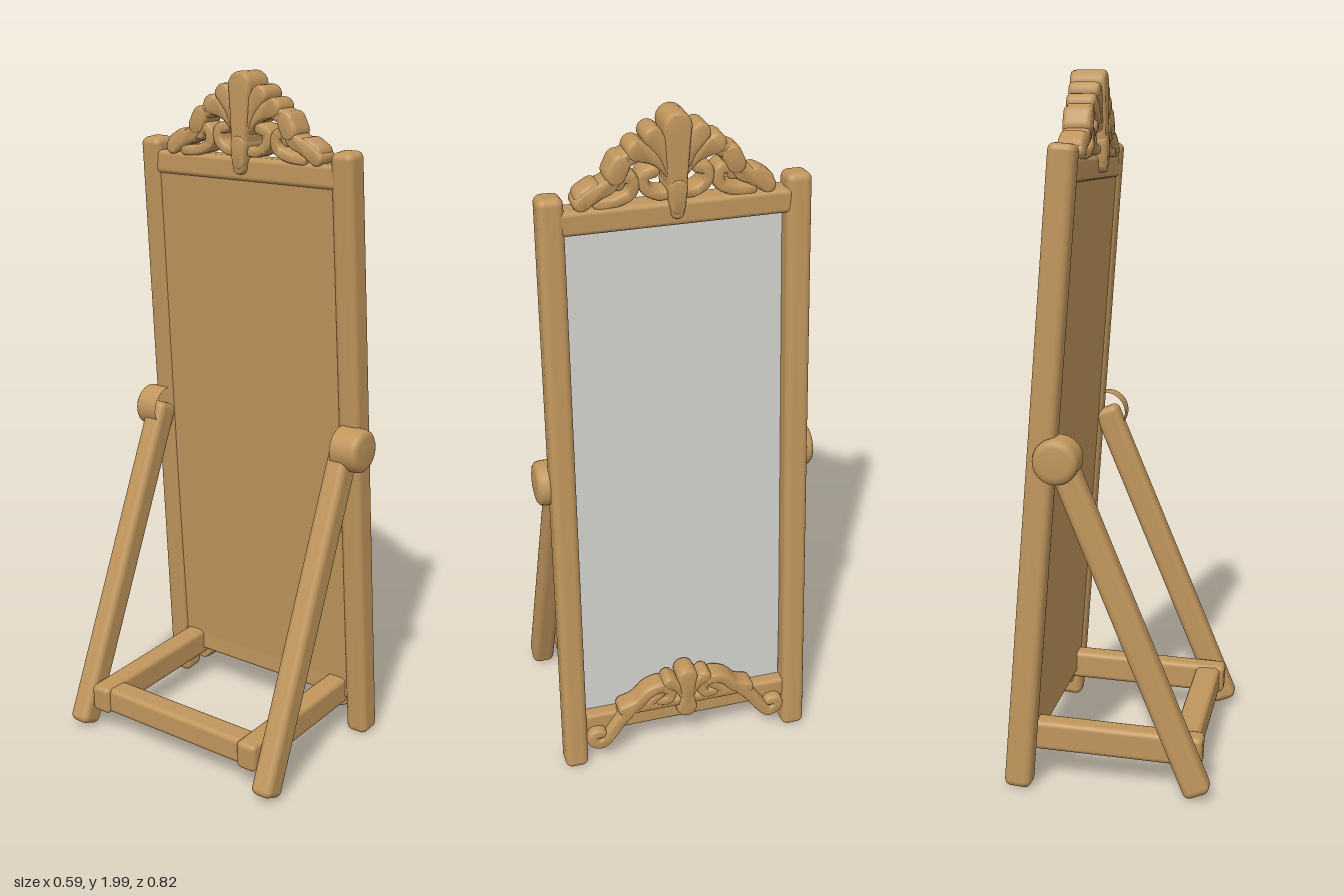
import * as THREE from 'three';
import { RoundedBoxGeometry } from 'three/addons/geometries/RoundedBoxGeometry.js';
import { mergeVertices, toCreasedNormals } from 'three/addons/utils/BufferGeometryUtils.js';

const wood = new THREE.MeshStandardMaterial({ color: 0xc0955c });
wood.name = 'wood';
const glass = new THREE.MeshStandardMaterial({ color: 0xcfcfca });
glass.name = 'mirrorGlass';

const V = (x, y, z) => new THREE.Vector3(x, y, z);

export function createModel() {
  const model = new THREE.Group();
  model.name = 'standingMirror';

  function add(parent, name, geometry, material = wood) {
    const mesh = new THREE.Mesh(geometry, material);
    mesh.name = name;
    parent.add(mesh);
    return mesh;
  }

  // Rounded bar running from a to b, with its size along x and z
  function bar(name, a, b, sx, sz, radius, material = wood) {
    const dir = b.clone().sub(a);
    const mesh = add(model, name, new RoundedBoxGeometry(sx, dir.length(), sz, 3, radius), material);
    mesh.position.copy(a).add(b).multiplyScalar(0.5);
    mesh.quaternion.setFromUnitVectors(V(0, 1, 0), dir.normalize());
    return mesh;
  }

  // Carved strip along a curve in the z-y plane, with round ends and a tapering half width
  function strip(parent, name, points, w0, w1, depth) {
    const curve = new THREE.SplineCurve(points.map(p => new THREE.Vector2(...p)));
    const n = points.length > 2 ? 28 : 6;
    const left = [], right = [];
    const cap = (c, angle, w) => [1, 2, 3, 4, 5, 6, 7].map(i => {
      const a = angle + Math.PI / 2 - i * Math.PI / 8;
      return new THREE.Vector2(c.x + w * Math.cos(a), c.y + w * Math.sin(a));
    });
    for (let i = 0; i <= n; i++) {
      const p = curve.getPoint(i / n), t = curve.getTangent(i / n);
      const w = w0 + (w1 - w0) * i / n;
      left.push(new THREE.Vector2(p.x - t.y * w, p.y + t.x * w));
      right.unshift(new THREE.Vector2(p.x + t.y * w, p.y - t.x * w));
    }
    const t0 = curve.getTangent(0), t1 = curve.getTangent(1);
    const outline = [
      ...left, ...cap(curve.getPoint(1), t1.angle(), w1),
      ...right, ...cap(curve.getPoint(0), t0.angle() + Math.PI, w0),
    ];
    const bevel = 0.014;
    let geo = new THREE.ExtrudeGeometry(new THREE.Shape(outline), {
      depth: depth - 2 * bevel, bevelEnabled: true, bevelThickness: bevel,
      bevelSize: 0.007, bevelSegments: 3,
    });
    geo.translate(0, 0, bevel - depth / 2);
    geo.rotateY(Math.PI / 2);
    geo.deleteAttribute('uv');
    geo.deleteAttribute('normal');
    geo = toCreasedNormals(mergeVertices(geo, 1e-5), 0.9);
    add(parent, name, geo);
  }

  // The same strip on both sides of the centre
  function pair(parent, name, points, w0, w1, depth) {
    for (const s of [1, -1]) {
      strip(parent, name, points.map(([z, y]) => [z * s, y]), w0, w1, depth);
    }
  }

  // Centre line of the leaning frame
  const lean = y => 0.2508 - 0.0793 * y;

  for (const s of [1, -1]) {
    const side = s > 0 ? 'left' : 'right';
    const off = -0.003;
    // Front post, rear prop leg and base side rail
    bar(side + 'Post', V(lean(0.01), 0.008, s * 0.35 + off), V(lean(1.8), 1.8, s * 0.333 + off), 0.077, 0.07, 0.02);
    bar(side + 'RearLeg', V(-0.265, 0.02, s * 0.35 + off), V(0.128, 0.975, s * 0.341 + off), 0.077, 0.068, 0.02);
    bar(side + 'BaseRail', V(-0.268, 0.118, s * 0.278 + off), V(0.25, 0.14, s * 0.278 + off), 0.086, 0.066, 0.015);

    // Round pivot knob
    const profile = [[0.064, -0.04], [0.064, 0.025], [0.061, 0.036], [0.053, 0.043], [0.04, 0.046], [0, 0.047]];
    const knob = new THREE.LatheGeometry(profile.map(p => new THREE.Vector2(...p)), 32);
    knob.rotateX(s * Math.PI / 2);
    add(model, side + 'PivotKnob', knob).position.set(0.128, 0.96, s * 0.362);
  }

  // Cross rails
  bar('rearCrossbar', V(-0.217, 0.118, -0.29), V(-0.217, 0.118, 0.285), 0.076, 0.078, 0.015);
  bar('topRail', V(lean(1.73), 1.73, -0.32), V(lean(1.73), 1.73, 0.32), 0.07, 0.068, 0.014);
  bar('bottomRail', V(0.235, 0.15, -0.33), V(0.235, 0.15, 0.33), 0.054, 0.07, 0.012);

  // Mirror glass and its backing board
  const panel = (name, dx, thick, mat) =>
    bar(name, V(lean(0.15) + dx, 0.15, 0), V(lean(1.73) + dx, 1.73, 0), thick, 0.63, 0.002, mat);
  panel('mirrorGlass', -0.014, 0.008, glass);
  panel('backBoard', -0.023, 0.012, wood);

  // Carved crest on the top rail
  const crest = new THREE.Group();
  crest.name = 'crest';
  crest.position.x = 0.107;
  model.add(crest);
  strip(crest, 'crestPlume', [[0, 1.735], [0, 1.962]], 0.012, 0.031, 0.1);
  strip(crest, 'crestDrop', [[0, 1.8], [0, 1.75]], 0.02, 0.014, 0.106);
  pair(crest, 'crestInnerLeaf', [[0.008, 1.82], [0.03, 1.89], [0.062, 1.938]], 0.008, 0.02, 0.086);
  pair(crest, 'crestOuterLeaf', [[0.01, 1.83], [0.05, 1.88], [0.105, 1.905]], 0.007, 0.021, 0.08);
  pair(crest, 'crestArch', [[0.25, 1.778], [0.215, 1.802], [0.172, 1.822], [0.15, 1.87], [0.105, 1.895]], 0.015, 0.013, 0.074);
  pair(crest, 'crestLobe', [[0.16, 1.845], [0.147, 1.872]], 0.02, 0.02, 0.078);
  pair(crest, 'crestEndLobe', [[0.24, 1.79], [0.215, 1.805]], 0.02, 0.02, 0.07);
  pair(crest, 'crestScroll', [[0.205, 1.77], [0.155, 1.775], [0.118, 1.795], [0.117, 1.83], [0.143, 1.838], [0.153, 1.82]], 0.008, 0.011, 0.07);
  pair(crest, 'crestCurl', [[0.01, 1.785], [0.045, 1.78], [0.08, 1.8], [0.085, 1.835], [0.06, 1.845]], 0.007, 0.01, 0.07);

  // Carved apron over the bottom rail
  const apron = new THREE.Group();
  apron.name = 'apron';
  apron.position.x = 0.258;
  model.add(apron);
  strip(apron, 'apronLedge', [[-0.19, 0.198], [0.19, 0.198]], 0.009, 0.009, 0.058);
  strip(apron, 'apronPlume', [[0, 0.2], [0, 0.288]], 0.01, 0.025, 0.07);
  strip(apron, 'apronDrop', [[0, 0.205], [0, 0.17]], 0.016, 0.025, 0.07);
  pair(apron, 'apronLeaf', [[0.008, 0.215], [0.025, 0.25], [0.055, 0.275]], 0.007, 0.014, 0.064);
  pair(apron, 'apronArch', [[0.195, 0.2], [0.155, 0.215], [0.12, 0.25], [0.08, 0.262], [0.05, 0.24], [0.058, 0.212], [0.085, 0.212]], 0.013, 0.008, 0.062);
  pair(apron, 'apronCurl', [[0.13, 0.2], [0.1, 0.225], [0.085, 0.24]], 0.008, 0.01, 0.058);
  pair(apron, 'apronArm', [[0.17, 0.205], [0.205, 0.165], [0.24, 0.115], [0.268, 0.086], [0.296, 0.1], [0.292, 0.126], [0.27, 0.126]], 0.013, 0.009, 0.062);

  return model;
}
